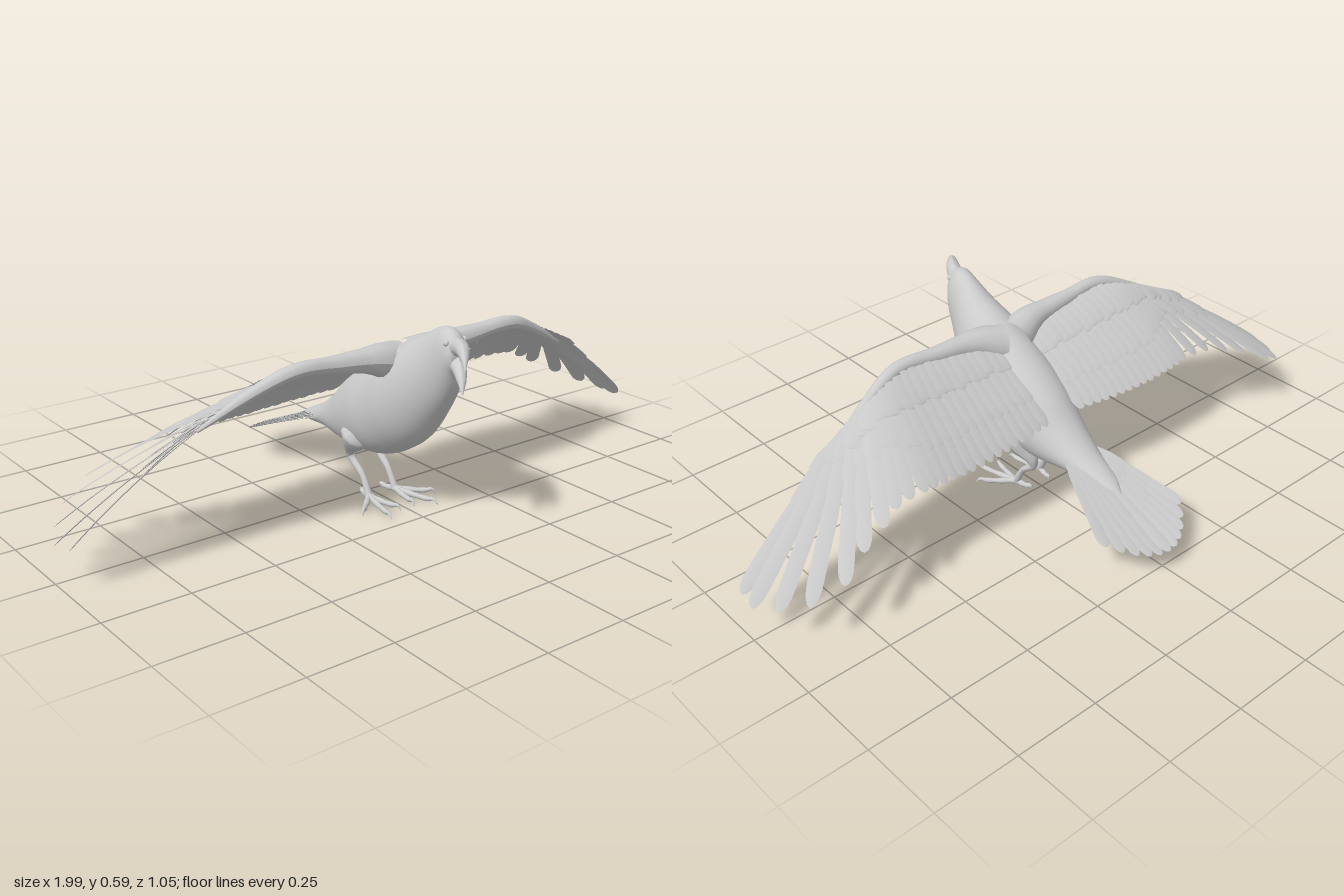
import * as THREE from 'three';
import { mergeGeometries } from 'three/addons/utils/BufferGeometryUtils.js';

const skin = new THREE.MeshStandardMaterial({ color: 0xcccccc });
const thin = new THREE.MeshStandardMaterial({ color: 0xcccccc, side: THREE.DoubleSide });
const V = (x, y, z) => new THREE.Vector3(x, y, z);
const curveOf = (pts) => new THREE.CatmullRomCurve3(pts.map((p) => V(...p)));

function add(parent, name, geo, mat = skin) {
  const mesh = new THREE.Mesh(geo, mat);
  mesh.name = name;
  parent.add(mesh);
  return mesh;
}

function surface(positions, index) {
  const geo = new THREE.BufferGeometry();
  geo.setAttribute('position', new THREE.Float32BufferAttribute(positions, 3));
  geo.setIndex(index);
  geo.computeVertexNormals();
  return geo;
}

// Tube whose radius follows a list of values along the path
function taper(pts, radii, seg = 24, sides = 12) {
  const curve = curveOf(pts);
  const geo = new THREE.TubeGeometry(curve, seg, 1, sides);
  const pos = geo.attributes.position, v = V(0, 0, 0);
  for (let i = 0; i <= seg; i++) {
    const f = (i / seg) * (radii.length - 1), k = Math.min(Math.floor(f), radii.length - 2);
    const r = THREE.MathUtils.lerp(radii[k], radii[k + 1], f - k);
    const c = curve.getPointAt(i / seg);
    for (let j = 0; j <= sides; j++) {
      const n = i * (sides + 1) + j;
      v.fromBufferAttribute(pos, n).sub(c).multiplyScalar(r).add(c);
      pos.setXYZ(n, v.x, v.y, v.z);
    }
  }
  geo.computeVertexNormals();
  return geo;
}

// Round-ended blade from base to tip, arched and ridged along its normal
function feather(base, tip, width, up, arch = 0.01, roll = 0.12) {
  const dir = tip.clone().sub(base).normalize();
  const side = dir.clone().cross(up).normalize();
  const normal = side.clone().cross(dir);
  side.addScaledVector(normal, roll).normalize();
  const positions = [], index = [], rows = 14;
  for (let i = 0; i <= rows; i++) {
    const t = 1 - (1 - i / rows) ** 1.6;
    let w = width * (0.55 + 0.45 * Math.min(1, t * 2));
    if (t > 0.88) w *= Math.sqrt(Math.max(0, 1 - ((t - 0.88) / 0.12) ** 2));
    const c = base.clone().lerp(tip, t).addScaledVector(normal, arch * 4 * t * (1 - t));
    for (const s of [-1, 0, 1]) {
      const p = c.clone().addScaledVector(side, s * w);
      if (s === 0) p.addScaledVector(normal, w * 0.12);
      positions.push(p.x, p.y, p.z);
    }
    if (i < rows) for (const k of [0, 1]) {
      const a = i * 3 + k;
      index.push(a, a + 1, a + 3, a + 1, a + 4, a + 3);
    }
  }
  return surface(positions, index);
}

// Body and head: slanted ellipses [topZ, topY, bottomZ, bottomY, halfWidth, centreX]
function bodyGeometry() {
  const sections = [
    [0.418, 0.53, 0.418, 0.515, 0.003, -0.03],
    [0.412, 0.562, 0.412, 0.487, 0.025, -0.026],
    [0.395, 0.581, 0.402, 0.468, 0.037, -0.02],
    [0.36, 0.591, 0.392, 0.435, 0.046, -0.012],
    [0.315, 0.58, 0.362, 0.385, 0.055, -0.005],
    [0.26, 0.55, 0.31, 0.315, 0.076, 0],
    [0.19, 0.515, 0.25, 0.24, 0.1, 0],
    [0.11, 0.47, 0.2, 0.2, 0.112, 0],
    [0.02, 0.415, 0.12, 0.158, 0.114, 0],
    [-0.06, 0.352, 0.04, 0.142, 0.103, 0],
    [-0.12, 0.29, -0.06, 0.142, 0.083, 0],
    [-0.2, 0.228, -0.16, 0.155, 0.058, 0],
    [-0.29, 0.182, -0.27, 0.148, 0.035, 0],
    [-0.33, 0.157, -0.33, 0.152, 0.003, 0],
  ];
  const top = curveOf(sections.map((s) => [0, s[1], s[0]]));
  const low = curveOf(sections.map((s) => [0, s[3], s[2]]));
  const wide = curveOf(sections.map((s) => [s[4], s[5], 0]));
  const rings = 64, sides = 36, positions = [], index = [];
  for (let i = 0; i <= rings; i++) {
    const a = top.getPoint(i / rings), b = low.getPoint(i / rings), w = wide.getPoint(i / rings);
    for (let j = 0; j < sides; j++) {
      const ang = (j / sides) * Math.PI * 2;
      const p = a.clone().lerp(b, (1 - Math.cos(ang)) / 2);
      positions.push(w.y + w.x * Math.sin(ang), p.y, p.z);
      if (i === rings) continue;
      const m = i * sides + j, n = i * sides + ((j + 1) % sides);
      index.push(m, n, m + sides, n, n + sides, m + sides);
    }
  }
  return surface(positions, index);
}

function makeWing(s) {
  const wing = new THREE.Group();
  wing.name = s > 0 ? 'leftWing' : 'rightWing';
  const flip = (p) => [p[0] * s, p[1], p[2]];
  const arm = [[0.03, 0.445, 0.15], [0.1, 0.468, 0.165], [0.24, 0.483, 0.17],
    [0.38, 0.49, 0.172], [0.5, 0.445, 0.148], [0.64, 0.37, 0.118]].map(flip);
  add(wing, 'wingArm', taper(arm, [0.06, 0.034, 0.023, 0.021, 0.015, 0.004], 40));

  // Base and tip of every flight feather, from the body outwards
  const armCurve = curveOf(arm);
  const tips = curveOf([[0.07, 0.3, -0.1], [0.2, 0.292, -0.112], [0.35, 0.285, -0.112], [0.5, 0.285, -0.1]].map(flip));
  const flight = [];
  for (let i = 0; i < 15; i++) flight.push([armCurve.getPointAt(0.07 + (i / 14) * 0.58), tips.getPointAt(i / 14), 0.02]);
  const primaryTips = [[0.55, 0.287, -0.1], [0.6, 0.283, -0.105], [0.66, 0.268, -0.13], [0.735, 0.238, -0.145],
    [0.82, 0.195, -0.175], [0.905, 0.15, -0.14], [0.96, 0.125, -0.075], [0.995, 0.11, 0], [0.985, 0.112, 0.062]];
  primaryTips.forEach((p, i) => flight.push([armCurve.getPointAt(0.68 + i * 0.035), V(...flip(p)), 0.021]));

  // Flight feathers, then two shorter covert rows lying on top
  const rows = [['flightFeathers', 1, 1, 0], ['longCoverts', 0.72, 1.1, 0.005], ['shortCoverts', 0.36, 1.2, 0.009]];
  for (const [name, reach, fat, lift] of rows) {
    const blades = flight.map(([base, tip, w], i) => {
      const k = THREE.MathUtils.smoothstep(i, 11, 18);
      const up = V(0, 0.83, -0.55).lerp(V(0.47 * s, 0.74, -0.49), k).normalize();
      const out = reach < 1 ? reach * (1 - 0.4 * k) + 0.015 * Math.sin(i * 2.3) : 1;
      const rise = up.clone().multiplyScalar(lift + (i % 3) * 0.0008);
      const end = base.clone().lerp(tip, out).add(rise).addScaledVector(up, reach < 1 ? 0.008 : 0);
      return feather(base.clone().add(rise), end, w * fat, up, reach < 1 ? 0.004 : 0.012, 0.12 * s);
    });
    add(wing, name, mergeGeometries(blades), thin);
  }
  return wing;
}

function makeTail() {
  const tail = new THREE.Group();
  tail.name = 'tail';
  const up = V(0, 0.92, -0.4);
  const rows = [['tailFeathers', 1, 0], ['longTailCoverts', 0.66, 0.006], ['shortTailCoverts', 0.4, 0.01]];
  for (const [name, reach, lift] of rows) {
    const blades = [];
    for (let i = -5; i <= 5; i++) {
      const u = i / 5;
      const base = V(0.04 * u, 0.215 - 0.015 * u * u + lift, -0.15);
      const tip = V(0.148 * u, 0.07 + 0.04 * u * u, -0.525 + 0.1 * u * u);
      const end = base.clone().lerp(tip, reach + (reach < 1 ? 0.03 * (i & 1) : 0));
      end.y += lift * 0.4 - Math.abs(i) * 0.001;
      blades.push(feather(base, end, 0.021, up, 0.004, 0.1 * Math.sign(i)));
    }
    add(tail, name, mergeGeometries(blades), thin);
  }
  return tail;
}

function makeLeg(s) {
  const leg = new THREE.Group();
  leg.name = s > 0 ? 'leftLeg' : 'rightLeg';
  const limb = (name, pts, radii) => add(leg, name, taper(pts.map((p) => [p[0] * s, p[1], p[2]]), radii));
  limb('thigh', [[0.065, 0.25, 0.06], [0.065, 0.19, 0.02], [0.055, 0.14, -0.02], [0.052, 0.115, -0.025]], [0.02, 0.05, 0.028, 0.009]);
  limb('shank', [[0.053, 0.145, -0.025], [0.05, 0.115, -0.02], [0.047, 0.07, 0.03], [0.048, 0.018, 0.06]], [0.013, 0.011, 0.009, 0.011]);
  // Three toes forward and one back, each ending in a hooked claw
  const hub = [0.048, 0.017, 0.06];
  for (const [x, z] of [[0.025, 0.18], [0.085, 0.215], [0.135, 0.145], [0.035, 0.005]]) {
    const at = (t, y) => [hub[0] + (x - hub[0]) * t, y, hub[2] + (z - hub[2]) * t];
    limb('toe', [hub, at(0.4, 0.014), at(0.75, 0.015), at(0.9, 0.019), at(1, 0.006)], [0.011, 0.008, 0.009, 0.007, 0.008, 0.005, 0.001]);
  }
  return leg;
}

export function createModel() {
  const bird = new THREE.Group();
  bird.name = 'bird';
  add(bird, 'body', bodyGeometry());

  // Open beak, turned slightly to the right
  add(bird, 'upperBeak', taper([[-0.018, 0.543, 0.385], [-0.035, 0.555, 0.43], [-0.064, 0.556, 0.475],
    [-0.09, 0.546, 0.51], [-0.102, 0.528, 0.526]], [0.03, 0.023, 0.018, 0.011, 0.001]));
  add(bird, 'lowerBeak', taper([[-0.018, 0.512, 0.385], [-0.035, 0.5, 0.425], [-0.06, 0.482, 0.465],
    [-0.085, 0.453, 0.498]], [0.026, 0.02, 0.013, 0.001]));
  for (const [name, x] of [['rightEye', -0.049], ['leftEye', 0.012]]) {
    add(bird, name, new THREE.SphereGeometry(0.009, 16, 12)).position.set(x, 0.56, 0.39);
  }

  bird.add(makeTail());
  for (const s of [1, -1]) bird.add(makeWing(s), makeLeg(s));
  return bird;
}
